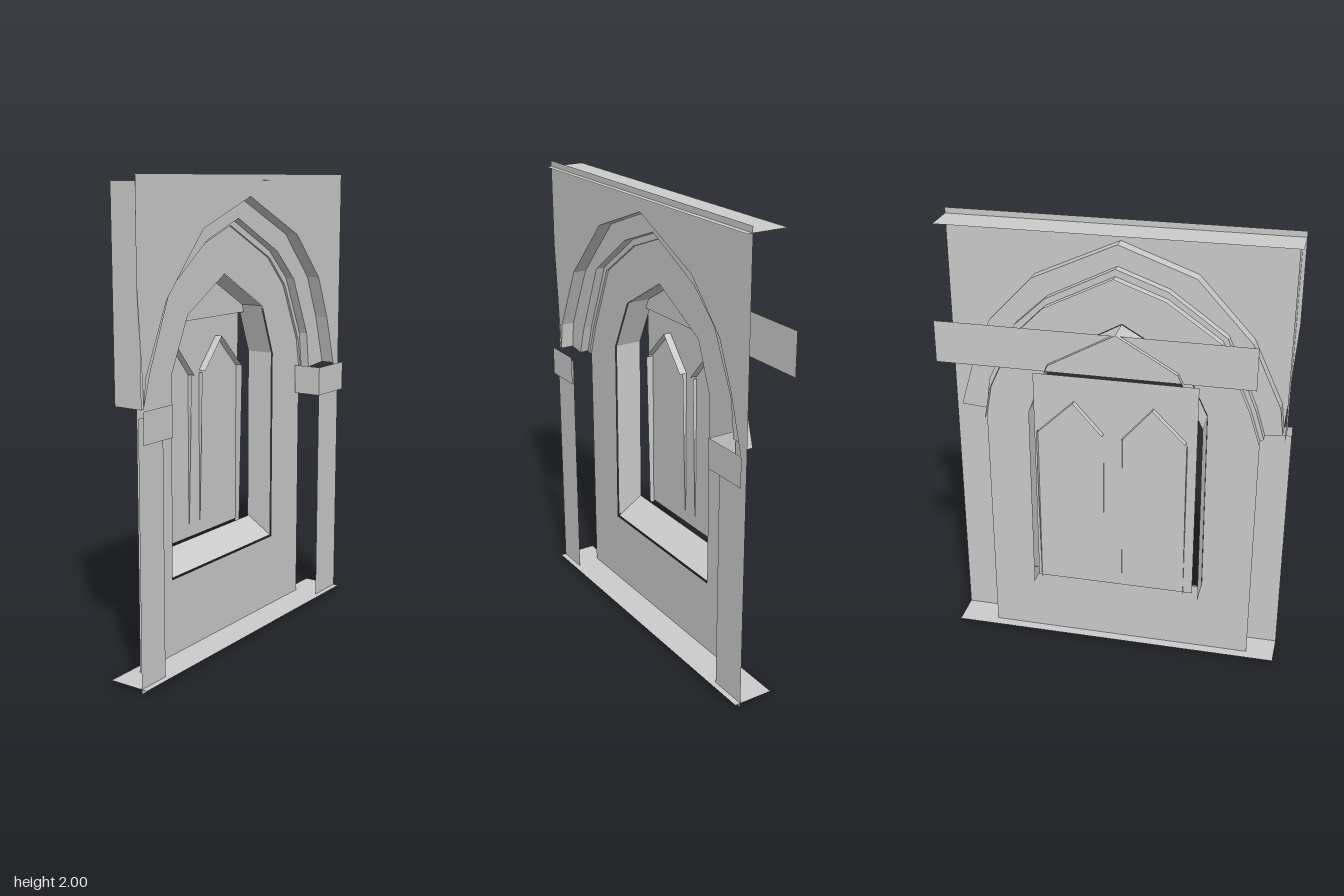
import * as THREE from 'three';

const material = new THREE.MeshStandardMaterial({ color: 0xcccccc, flatShading: true, side: THREE.DoubleSide });

// Arch outlines, listed from the right foot over the apex to the left foot
const outerArch = [[0.705, 1.13], [0.64, 1.35], [0.56, 1.54], [0.37, 1.74], [0, 1.91],
  [-0.33, 1.79], [-0.57, 1.53], [-0.7, 1.25], [-0.715, 1.13]];
const middleArch = [[0.58, 1.12], [0.56, 1.28], [0.44, 1.54], [0.3, 1.67], [0, 1.82],
  [-0.22, 1.74], [-0.47, 1.56], [-0.6, 1.25], [-0.64, 1.12]];
const innerArch = [[0.575, 1.11], [0.55, 1.25], [0.43, 1.51], [0.3, 1.64], [0, 1.79],
  [-0.22, 1.71], [-0.45, 1.55], [-0.58, 1.25], [-0.625, 1.11]];
const windowArch = [[0.345, 0.35], [0.345, 1.21], [0.26, 1.43], [-0.03, 1.59],
  [-0.29, 1.44], [-0.4, 1.21], [-0.405, 0.35]];

const toShape = (points) => new THREE.Shape(points.map(([x, y]) => new THREE.Vector2(x, y)));

function add(group, name, geometry) {
  const mesh = new THREE.Mesh(geometry, material);
  mesh.name = name;
  group.add(mesh);
  return mesh;
}

// Flat upright plate, optionally pierced
function plate(group, name, points, z, hole) {
  const shape = toShape(points);
  if (hole) shape.holes.push(toShape(hole));
  add(group, name, new THREE.ShapeGeometry(shape)).position.z = z;
}

function panel(group, name, x0, x1, y0, y1, z) {
  plate(group, name, [[x0, y0], [x1, y0], [x1, y1], [x0, y1]], z);
}

// Strip between two rows of 3D points of equal length
function strip(group, name, rowA, rowB) {
  const index = [];
  const n = rowA.length;
  for (let i = 0; i < n - 1; i++) index.push(i, n + i, i + 1, i + 1, n + i, n + i + 1);
  const geometry = new THREE.BufferGeometry();
  geometry.setAttribute('position', new THREE.Float32BufferAttribute([...rowA, ...rowB].flat(), 3));
  geometry.setIndex(index);
  geometry.computeVertexNormals();
  add(group, name, geometry);
}

// Reveal: an outline swept straight back from z0 to z1
function reveal(group, name, points, z0, z1) {
  strip(group, name, points.map(([x, y]) => [x, y, z0]), points.map(([x, y]) => [x, y, z1]));
}

export function createModel() {
  const model = new THREE.Group();
  model.name = 'archedWindowWall';

  // Upper wall around the arch, with its one return on the right end
  plate(model, 'spandrel', [[-0.75, 2], [-0.75, 1.61], ...[...outerArch].reverse(), [0.705, 1.1], [0.75, 1.1], [0.75, 2]], 0.14);
  reveal(model, 'endReturn', [[-0.735, 1.975], [-0.73, 1.13]], 0.14, 0.01);

  // Stepped arch mouldings
  reveal(model, 'outerArchReveal', outerArch, 0.14, 0.08);
  plate(model, 'archRing', [...outerArch, ...[...middleArch].reverse()], 0.08);
  reveal(model, 'middleArchReveal', middleArch, 0.08, 0.04);
  plate(model, 'innerArchRing', [...middleArch, ...[...innerArch].reverse()], 0.04);
  reveal(model, 'innerArchReveal', innerArch, 0.04, 0);

  // Recessed wall with the window opening, its jambs and sloping sill
  plate(model, 'recessedWall', [[-0.625, 0.02], [0.575, 0.02], ...innerArch], 0.03, windowArch);
  reveal(model, 'windowReveal', windowArch.slice(0, -1).concat([[-0.405, 0.36]]), 0.025, -0.1);
  strip(model, 'sill', [[-0.4, 0.355, 0.025], [0.345, 0.355, 0.025]], [[-0.4, 0.43, -0.095], [0.345, 0.43, -0.095]]);

  // Back board and window panel
  panel(model, 'backBoard', -0.61, 0.75, 1.395, 1.58, -0.078);
  panel(model, 'windowPanel', -0.385, 0.31, 0.42, 1.41, -0.135);

  // Twin lancets: pointed heads standing out on both faces of the panel
  for (const [left, peak, right] of [[-0.34, -0.2, -0.07], [0.01, 0.135, 0.29]]) {
    reveal(model, 'lancetHead', [[left, 1.16], [peak, 1.3], [right, 1.15]], -0.1, -0.165);
  }
  // Outer jambs
  for (const x of [-0.345, 0.295]) {
    strip(model, 'outerJamb', [[x, 1.15, -0.1], [x, 0.41, -0.115]], [[x, 1.15, -0.165], [x, 0.41, -0.14]]);
  }
  // Slim inner jambs
  for (const x of [-0.07, 0.01]) {
    strip(model, 'innerJamb', [[x, 1.15, -0.115], [x, 0.48, -0.132]], [[x, 1.15, -0.14], [x, 0.48, -0.138]]);
  }

  // Pilasters and their caps
  panel(model, 'rightPilaster', -0.75, -0.6, 0, 1.1, 0.14);
  panel(model, 'leftPilaster', 0.575, 0.75, 0, 1.1, 0.14);
  panel(model, 'rightCap', -0.75, -0.57, 1, 1.13, 0.165);
  panel(model, 'leftCap', 0.535, 0.75, 1, 1.13, 0.165);
  reveal(model, 'capReturn', [[0.535, 1], [0.535, 1.13]], 0.165, 0.035);

  // Top and bottom ledges
  for (const [name, y] of [['topLedge', 1.975], ['bottomLedge', 0.02]]) {
    reveal(model, name, [[-0.75, y], [0.75, y]], 0.165, -0.015);
  }
  return model;
}
